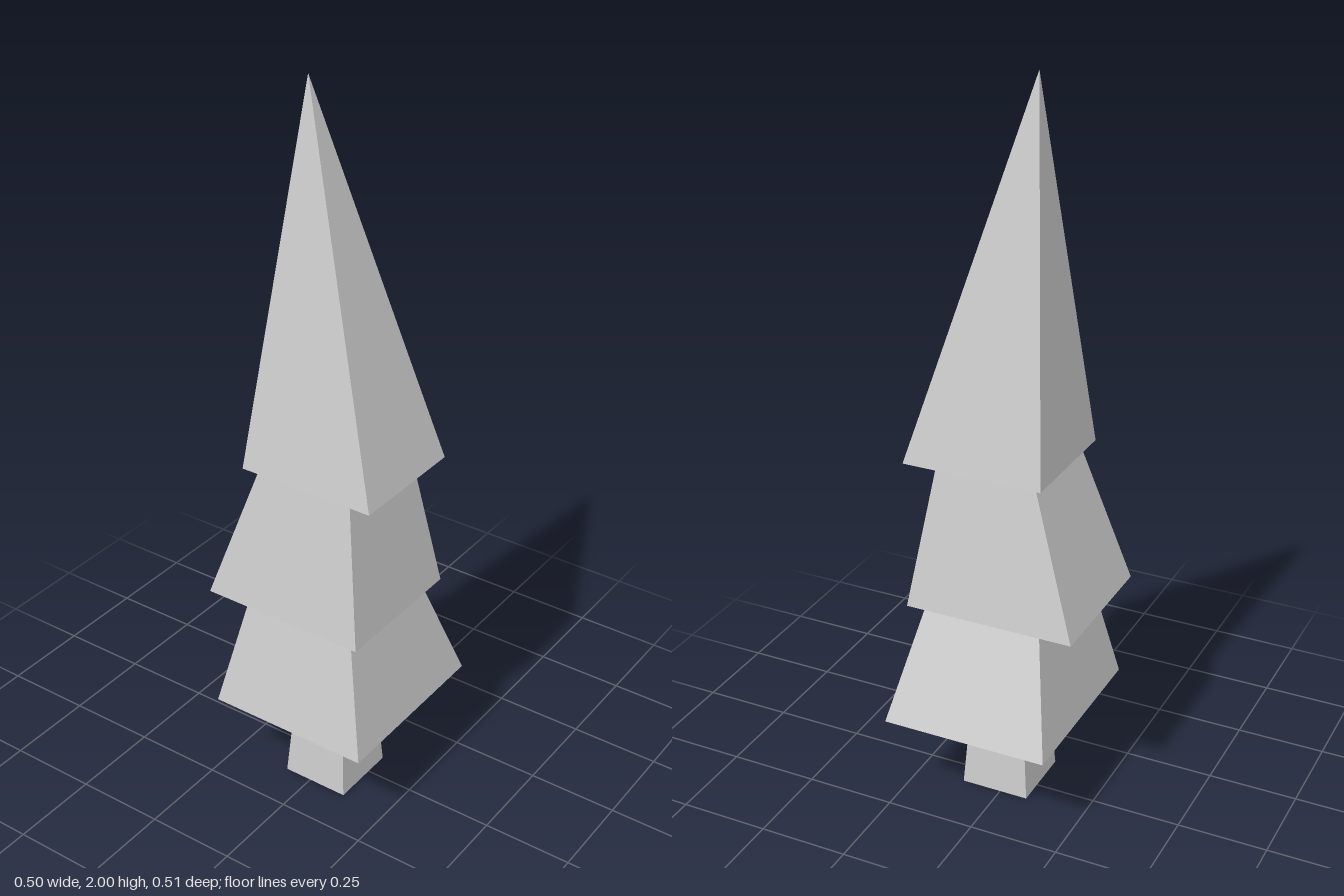
import * as THREE from 'three';

const material = new THREE.MeshStandardMaterial({ color: 0xcccccc, flatShading: true });

// Four-sided block between two off-centre rectangles, each given as
// { y, x: [min, max], z: [min, max] }; a top without extent makes a point.
function taperedBlock(name, bottom, top) {
  const r = Math.SQRT1_2;
  const pointed = top.x[0] === top.x[1];
  const indexed = new THREE.CylinderGeometry(pointed ? 0 : r, r, 1, 4, 1, false, Math.PI / 4);
  const geometry = indexed.toNonIndexed();
  const pos = geometry.attributes.position;
  const place = ([min, max], t) => (min + max) / 2 + t * (max - min);
  for (let i = 0; i < pos.count; i++) {
    const level = pos.getY(i) > 0 ? top : bottom;
    pos.setXYZ(i, place(level.x, pos.getX(i)), level.y, place(level.z, pos.getZ(i)));
  }
  geometry.computeVertexNormals();
  const mesh = new THREE.Mesh(geometry, material);
  mesh.name = name;
  return mesh;
}

export function createModel() {
  const tree = new THREE.Group();
  tree.name = 'firTree';
  tree.add(
    // Trunk
    taperedBlock('trunk',
      { y: 0, x: [-0.08, 0.113], z: [-0.071, 0.124] },
      { y: 0.27, x: [-0.06, 0.094], z: [-0.052, 0.103] }),
    // Foliage, each tier shifted and skewed differently
    taperedBlock('lowerFoliage',
      { y: 0.27, x: [-0.214, 0.251], z: [-0.257, 0.254] },
      { y: 0.595, x: [-0.145, 0.18], z: [-0.137, 0.19] }),
    taperedBlock('middleFoliage',
      { y: 0.595, x: [-0.253, 0.218], z: [-0.179, 0.222] },
      { y: 0.995, x: [-0.12, 0.156], z: [-0.115, 0.163] }),
    taperedBlock('topFoliage',
      { y: 0.995, x: [-0.153, 0.235], z: [-0.151, 0.193] },
      { y: 2, x: [-0.063, -0.063], z: [0.021, 0.021] }),
  );
  return tree;
}
